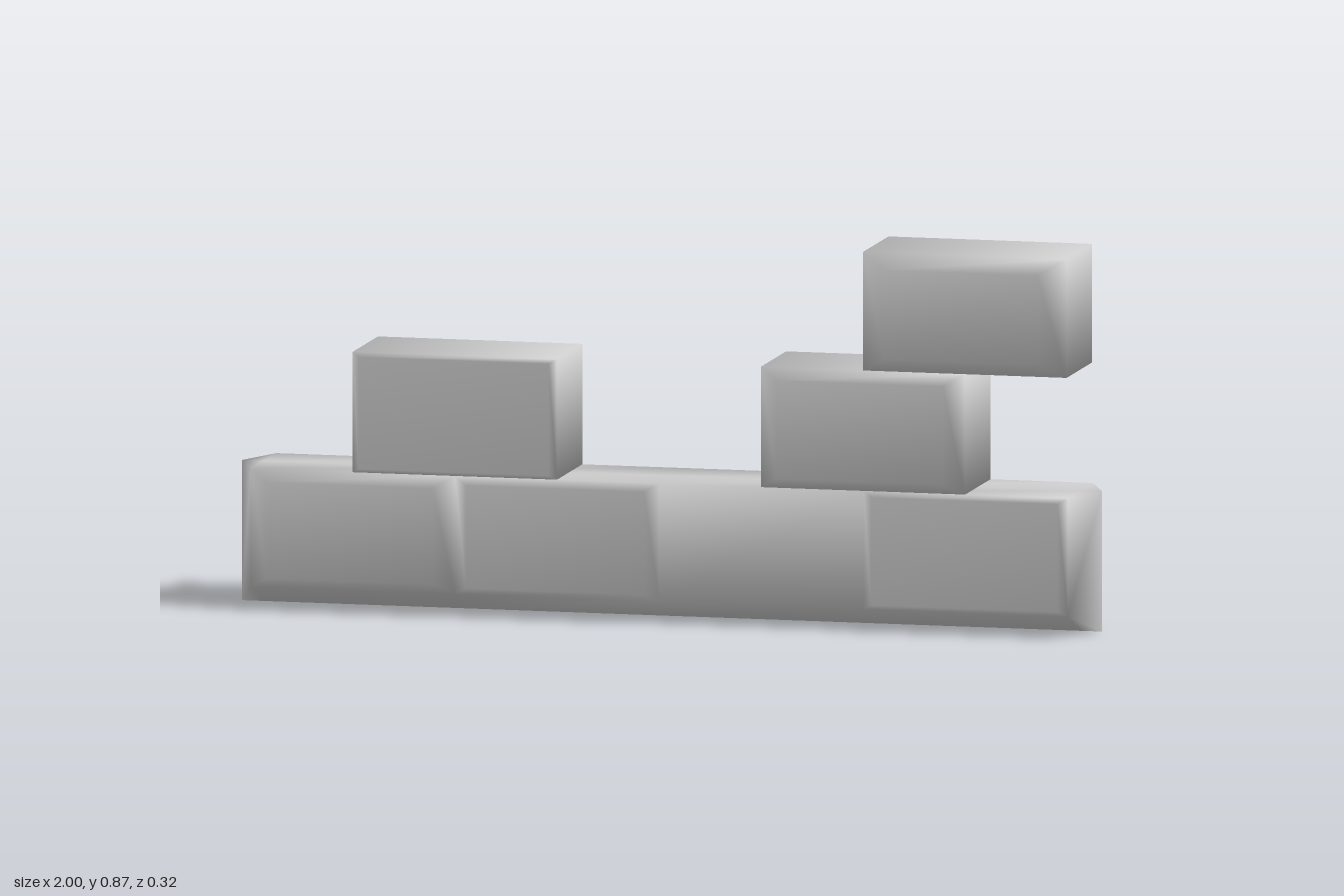
import * as THREE from 'three';
import { mergeVertices } from 'three/addons/utils/BufferGeometryUtils.js';

const CORE = 0.12; // half depth of the mortar core

// Collects polygons (counter-clockwise from outside) into a smooth mesh
class Builder {
  constructor() { this.positions = []; }

  // mx and mz mirror the polygon; an odd mirror reverses its winding
  face(points, mx = 1, mz = 1) {
    const p = points.map(([x, y, z]) => [x * mx, y, z * mz]);
    if (mx * mz < 0) p.reverse();
    for (let i = 1; i < p.length - 1; i++) this.positions.push(...p[0], ...p[i], ...p[i + 1]);
  }

  // Bevelled brick face standing proud of the core, on front and back
  panels(x0, x1, y0, y1, half) {
    const depth = half - CORE, ix = depth * 1.4, iy = depth * 0.8;
    const outer = [[x0, y0, CORE], [x1, y0, CORE], [x1, y1, CORE], [x0, y1, CORE]];
    const inner = [
      [x0 + ix, y0 + iy, half], [x1 - ix, y0 + iy, half],
      [x1 - ix, y1 - iy, half], [x0 + ix, y1 - iy, half],
    ];
    for (const mz of [1, -1]) {
      this.face(inner, 1, mz);
      if (depth <= 0) continue;
      for (let k = 0; k < 4; k++) {
        const n = (k + 1) % 4;
        this.face([outer[k], outer[n], inner[n], inner[k]], 1, mz);
      }
    }
  }

  mesh(name) {
    const raw = new THREE.BufferGeometry();
    raw.setAttribute('position', new THREE.Float32BufferAttribute(this.positions, 3));
    const geometry = mergeVertices(raw, 1e-4);
    geometry.computeVertexNormals();
    const mesh = new THREE.Mesh(geometry, new THREE.MeshStandardMaterial({ color: 0xcccccc }));
    mesh.name = name;
    return mesh;
  }
}

// Bottom course: four bricks, pointed ends and a keel-shaped underside
function baseCourse() {
  const b = new Builder();
  const joints = [-0.95, -0.475, 0, 0.475, 0.95];
  const halves = [0.152, 0.142, CORE, 0.135]; // the third brick lies flush
  const low = 0.05, top = 0.32;
  halves.forEach((half, i) => {
    const x0 = joints[i], x1 = joints[i + 1];
    b.panels(x0, x1, low, top, half);
    for (const mz of [1, -1]) {
      b.face([[x0, top, CORE], [x1, top, CORE], [x1, top, 0], [x0, top, 0]], 1, mz);
      b.face([[x0, 0, 0], [x1, 0, 0], [x1, low, CORE], [x0, low, CORE]], 1, mz);
    }
  });
  // Pointed ends
  for (const mx of [1, -1]) {
    for (const mz of [1, -1]) {
      b.face([[0.95, low, CORE], [1, 0, 0], [1, top, 0], [0.95, top, CORE]], mx, mz);
      b.face([[0.95, top, CORE], [1, top, 0], [0.95, top, 0]], mx, mz);
      b.face([[0.95, 0, 0], [1, 0, 0], [0.95, low, CORE]], mx, mz);
    }
  }
  return b.mesh('bottomCourse');
}

// Single brick with bevelled front and back
function brick(name, x0, x1, y0, y1, half) {
  const b = new Builder();
  b.panels(x0, x1, y0, y1, half);
  const level = (y) => [[x0, y, CORE], [x1, y, CORE], [x1, y, -CORE], [x0, y, -CORE]];
  const end = (x) => [[x, y0, CORE], [x, y0, -CORE], [x, y1, -CORE], [x, y1, CORE]];
  b.face(level(y1));
  b.face(level(y0).reverse());
  b.face(end(x1));
  b.face(end(x0).reverse());
  return b.mesh(name);
}

export function createModel() {
  const model = new THREE.Group();
  model.name = 'brickWallFragment';
  model.add(
    baseCourse(),
    brick('rightMiddleBrick', -0.713, -0.238, 0.32, 0.595, 0.132),
    brick('leftMiddleBrick', 0.236, 0.711, 0.32, 0.595, 0.152),
    brick('topBrick', 0.474, 0.947, 0.595, 0.866, 0.162),
  );
  return model;
}
